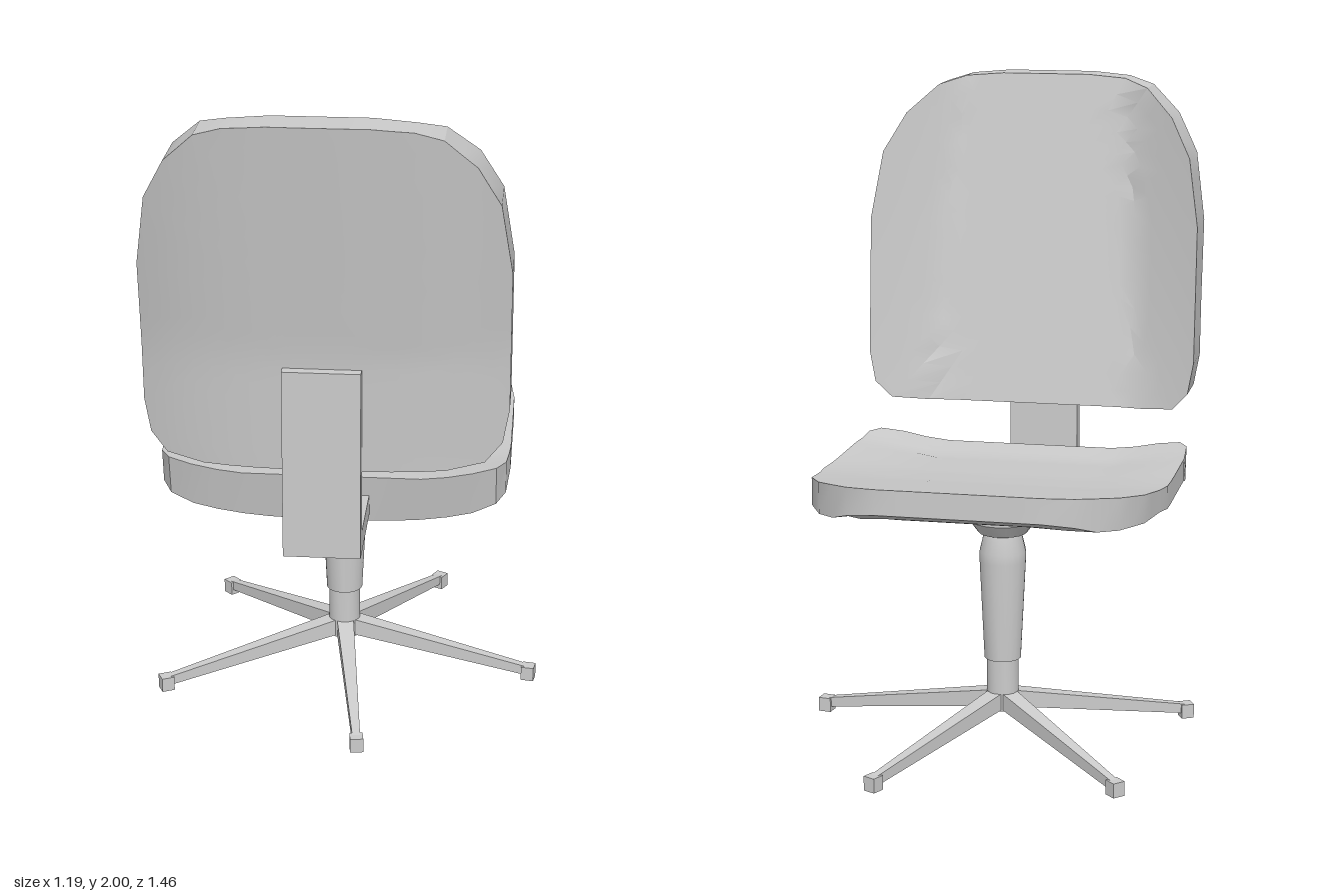
import * as THREE from 'three';
import { toCreasedNormals } from 'three/addons/utils/BufferGeometryUtils.js';

const CX = -0.028, CZ = -0.08; // axes of the cushions and of the column
const mat = new THREE.MeshStandardMaterial({ color: 0xcccccc, side: THREE.DoubleSide });

// Piecewise linear value through [t, value] points
function ramp(t, pts) {
  if (t <= pts[0][0]) return pts[0][1];
  for (let i = 1; i < pts.length; i++) {
    const [a, va] = pts[i - 1], [b, vb] = pts[i];
    if (t <= b) return va + (vb - va) * (t - a) / (b - a);
  }
  return pts[pts.length - 1][1];
}

function add(parent, name, geo, x = 0, y = 0, z = 0) {
  const m = new THREE.Mesh(geo, mat);
  m.name = name;
  m.position.set(x, y, z);
  parent.add(m);
  return m;
}

// Mirror a half outline and split its long edges
function fullOutline(half) {
  const pts = [...half, ...half.slice().reverse().map(([u, v]) => [-u, v])];
  const out = [];
  pts.forEach(([u, v], i) => {
    const [u2, v2] = pts[(i + 1) % pts.length];
    const n = Math.max(1, Math.round(Math.hypot(u2 - u, v2 - v) / 0.08));
    for (let k = 0; k < n; k++) out.push([u + (u2 - u) * k / n, v + (v2 - v) * k / n]);
  });
  return out;
}

// Cushion: two curved faces over one outline, joined by a rim.
// place(u, v, upper) gives the surface point.
function cushion(half, midV, place) {
  const outline = fullOutline(half), n = outline.length, rings = 10;
  const pos = [], idx = [];
  for (const upper of [true, false]) {
    const base = pos.length / 3;
    for (let k = 0; k <= rings; k++)
      for (const [u, v] of outline)
        pos.push(...place(u * k / rings, midV + (v - midV) * k / rings, upper));
    for (let k = 0; k < rings; k++)
      for (let i = 0; i < n; i++) {
        const j = (i + 1) % n;
        const a = base + k * n + i, b = base + k * n + j, c = a + n, d = b + n;
        const tris = k ? [[a, c, d], [a, d, b]] : [[a, c, d]];
        for (const [p, q, r] of tris) idx.push(...(upper ? [p, q, r] : [p, r, q]));
      }
  }
  const top = rings * n, low = top + (rings + 1) * n;
  for (let i = 0; i < n; i++) {
    const j = (i + 1) % n;
    idx.push(low + i, low + j, top + j, low + i, top + j, top + i);
  }
  const g = new THREE.BufferGeometry();
  g.setAttribute('position', new THREE.Float32BufferAttribute(pos, 3));
  g.setIndex(idx);
  return toCreasedNormals(g, 0.45);
}

function seatPoint(u, v, upper) {
  const z = -v, a = Math.abs(u);
  if (upper) {
    const mid = ramp(z, [[-0.73, 0.95], [-0.3, 0.87], [-0.1, 0.845], [0.2, 0.82], [0.36, 0.83]]);
    const rise = ramp(z, [[-0.73, 0], [-0.2, 0.01], [0.15, 0.035], [0.36, 0.045]]);
    return [u, mid + rise * Math.max(0, a - 0.3) / 0.228, z];
  }
  const mid = ramp(z, [[-0.73, 0.875], [-0.64, 0.835], [-0.3, 0.8], [0.33, 0.68], [0.36, 0.675]]);
  const rise = ramp(z, [[-0.6, 0], [-0.2, 0.015], [0.15, 0.075]]);
  return [u, mid + rise * (a / 0.528) ** 3, z - ramp(z, [[0.15, 0], [0.36, 0.03]])];
}

function backPoint(u, y, rear) {
  const a = Math.abs(u);
  if (rear) {
    const mid = ramp(y, [[0.95, 0.595], [1.3, 0.62], [2, 0.73]]);
    return [u, y, mid - 0.1 * (a / 0.528) ** 3];
  }
  // Flat middle panel with side wings folded forward
  const t = (y - 0.95) / 1.05;
  const fold = 0.33 - 0.06 * t;
  return [u, y, 0.43 + 0.18 * t - (0.5 + 0.26 * t) * Math.max(0, a - fold)];
}

// Box from z = 0 to z = len, its section [width, bottom, top] changing along it
function taperedBar(len, s0, s1) {
  const g = new THREE.BoxGeometry(1, 1, len).translate(0, 0, len / 2);
  const p = g.attributes.position;
  for (let i = 0; i < p.count; i++) {
    const [w, b, t] = p.getZ(i) < len / 2 ? s0 : s1;
    p.setXY(i, p.getX(i) * w, p.getY(i) < 0 ? b : t);
  }
  g.computeVertexNormals();
  return g;
}

export function createModel() {
  const chair = new THREE.Group();
  chair.name = 'officeChair';

  // Cushions
  const seatHalf = [[0.42, -0.36], [0.49, -0.34], [0.518, -0.29], [0.528, -0.155], [0.528, 0.22],
    [0.495, 0.47], [0.44, 0.59], [0.33, 0.695], [0.24, 0.727]];
  add(chair, 'seat', cushion(seatHalf, 0.18, seatPoint), CX);
  const backHalf = [[0.35, 0.95], [0.46, 0.965], [0.51, 1.02], [0.528, 1.12], [0.528, 1.55],
    [0.495, 1.76], [0.43, 1.88], [0.34, 1.965], [0.26, 1.99], [0.14, 2]];
  add(chair, 'backrest', cushion(backHalf, 1.48, backPoint), CX);

  // L-shaped bracket between seat and backrest
  const bracket = new THREE.Group();
  bracket.name = 'backBracket';
  add(bracket, 'bracketUpright', new THREE.BoxGeometry(0.225, 0.57, 0.05), CX, 0.985, 0.625);
  add(bracket, 'bracketArm', new THREE.BoxGeometry(0.225, 0.065, 0.33), CX, 0.7325, 0.455);
  chair.add(bracket);

  // Column with swivel hub
  const profile = [[0, 0.09], [0.05, 0.09], [0.05, 0.255], [0.057, 0.255], [0.072, 0.57], [0.072, 0.6],
    [0.058, 0.66], [0.075, 0.66], [0.105, 0.7], [0.105, 0.78], [0, 0.78]]
    .map(([r, y]) => new THREE.Vector2(r, y));
  add(chair, 'column', toCreasedNormals(new THREE.LatheGeometry(profile, 20), 0.5), CX, 0, CZ);

  // Five-armed foot
  const foot = new THREE.Group();
  foot.name = 'footStar';
  foot.position.set(CX, 0, CZ);
  for (let i = 0; i < 5; i++) {
    const leg = new THREE.Group();
    leg.name = 'leg';
    leg.rotation.y = Math.PI / 2 - THREE.MathUtils.degToRad(9.5 + 72 * i);
    add(leg, 'legBar', taperedBar(0.6, [0.055, 0.1, 0.155], [0.024, 0.015, 0.045]));
    add(leg, 'legPad', new THREE.BoxGeometry(0.04, 0.045, 0.04), 0, 0.0225, 0.607);
    foot.add(leg);
  }
  chair.add(foot);

  // Height lever under the seat
  const lever = new THREE.Group();
  lever.name = 'heightLever';
  add(lever, 'leverRod', new THREE.CylinderGeometry(0.01, 0.01, 0.34, 8).rotateZ(Math.PI / 2), 0.17, 0.712, -0.115);
  add(lever, 'leverPaddle', new THREE.BoxGeometry(0.075, 0.02, 0.07), 0.365, 0.708, -0.115);
  chair.add(lever);

  return chair;
}
